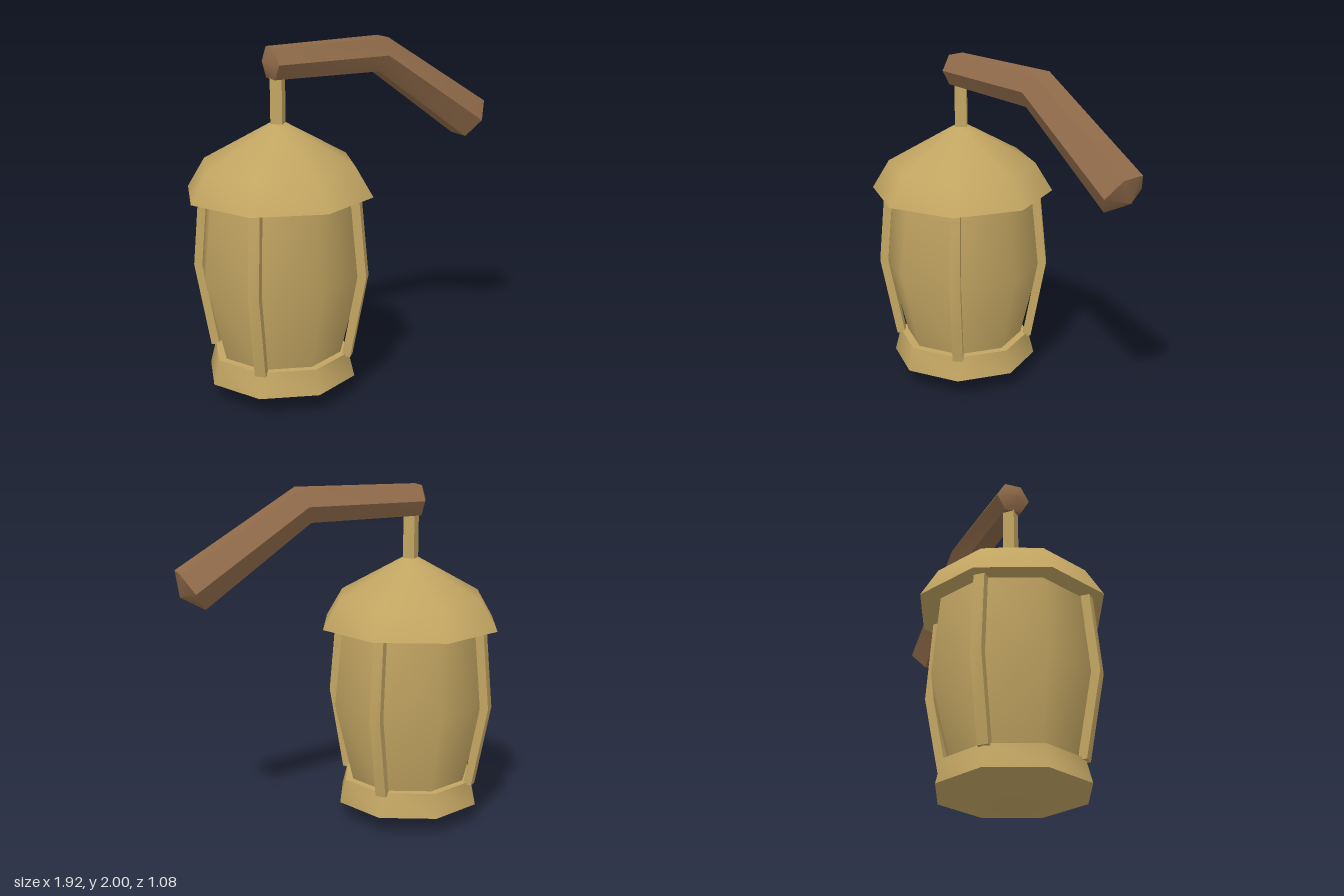
import * as THREE from 'three';
import { toCreasedNormals } from 'three/addons/utils/BufferGeometryUtils.js';

const CREASE = 0.87;
const V = (x, y, z) => new THREE.Vector3(x, y, z);

// Skin a list of equal-sized rings and close both ends towards a centre point.
function loft(rings, startTip, endTip) {
  const n = rings[0].length;
  const points = [...rings.flat(), startTip, endTip];
  const start = rings.length * n, end = start + 1, last = start - n;
  const index = [];
  for (let i = 0; i < n; i++) {
    const j = (i + 1) % n;
    for (let r = 0; r < rings.length - 1; r++) {
      const a = r * n, b = a + n;
      index.push(a + i, a + j, b + j, a + i, b + j, b + i);
    }
    index.push(start, j, i, end, last + i, last + j);
  }
  const geometry = new THREE.BufferGeometry().setFromPoints(points);
  geometry.setIndex(index);
  return toCreasedNormals(geometry, CREASE);
}

// Eight-sided turned part from [radius, height] pairs.
function turned(profile) {
  const pts = profile.map(([r, y]) => new THREE.Vector2(r, y));
  return toCreasedNormals(new THREE.LatheGeometry(pts, 8), CREASE);
}

export function createModel() {
  const brass = new THREE.MeshStandardMaterial({ color: 0xc2a562 });
  brass.name = 'brass';
  const wood = new THREE.MeshStandardMaterial({ color: 0x8f6a49 });
  wood.name = 'wood';

  const model = new THREE.Group();
  model.name = 'lantern';
  const body = new THREE.Group();
  body.name = 'lanternBody';
  body.position.x = -0.42;
  model.add(body);

  const add = (parent, name, geometry, material) => {
    const mesh = new THREE.Mesh(geometry, material);
    mesh.name = name;
    parent.add(mesh);
    return mesh;
  };

  // Base with pointed underside, bulging chamber and two-slope roof
  add(body, 'base', turned([[0, 0], [0.435, 0.11], [0.4, 0.25], [0, 0.25]]), brass);
  add(body, 'chamber', turned([[0.35, 0.24], [0.468, 0.72], [0.42, 1.19]]), brass);
  add(body, 'roof', turned([[0, 1.18], [0.54, 1.18], [0.438, 1.35], [0.05, 1.57], [0, 1.57]]), brass);

  // Square stem standing on its corner
  const stem = add(body, 'stem', new THREE.CylinderGeometry(0.048, 0.048, 0.3, 4, 1).toNonIndexed(), brass);
  stem.geometry.computeVertexNormals();
  stem.position.y = 1.7;

  // Four bent posts on the diagonals
  const postRing = ([outer, y]) => {
    const w = 0.031, inner = outer - 0.05;
    return [V(-w, y, outer), V(w, y, outer), V(w, y, inner), V(-w, y, inner)];
  };
  const postGeometry = loft([[0.417, 0.235], [0.508, 0.72], [0.465, 1.19]].map(postRing),
    V(0, 0.235, 0.392), V(0, 1.19, 0.44));
  for (let i = 0; i < 4; i++) {
    add(body, 'post', postGeometry, brass).rotation.y = Math.PI / 4 + i * Math.PI / 2;
  }

  // Hexagonal bent handle: centre, radius and up direction of each section
  const sections = [
    [V(-0.462, 1.905, 0), 0.1, V(0, 1, 0)],
    [V(0.235, 1.905, 0), 0.115, V(0.06, 0.19, 0)],
    [V(0.888, 1.468, 0), 0.141, V(0.135, 0.205, 0)],
  ];
  const handleRings = sections.map(([c, r, up]) => {
    up.normalize();
    return Array.from({ length: 6 }, (_, i) => {
      const a = Math.PI / 6 + i * Math.PI / 3;
      return c.clone().addScaledVector(up, r * Math.cos(a)).add(V(0, 0, r * Math.sin(a)));
    });
  });
  add(model, 'handle', loft(handleRings, V(-0.51, 1.905, 0), V(0.945, 1.43, 0)), wood);

  return model;
}
